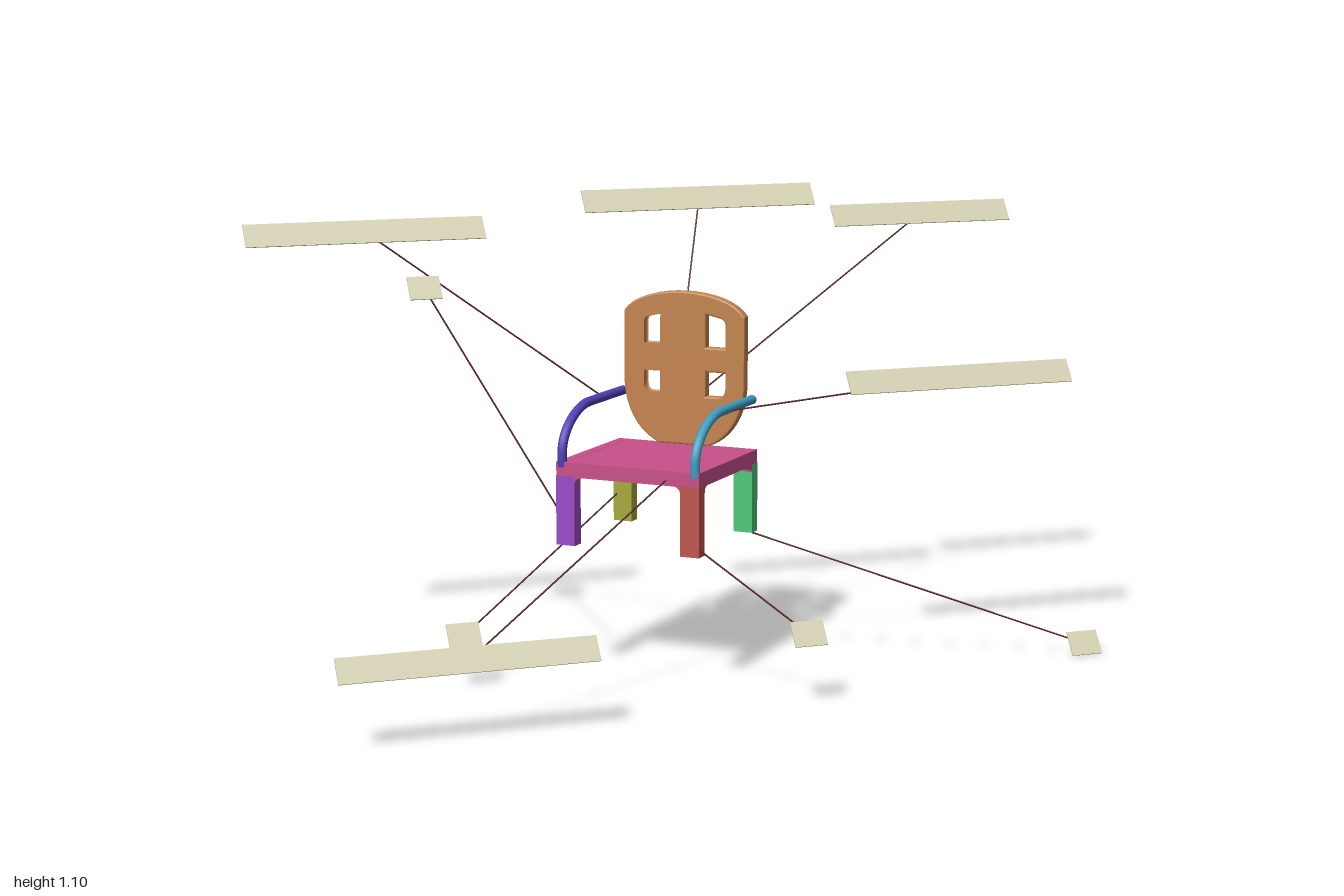
import * as THREE from 'three';

const CX = -0.012;          // chair centre line
const Z0 = -0.125, Z1 = 0.21; // chair back and front
const HALF = 0.179;         // half chair width
const SEAT_TOP = 0.512, SEAT_LOW = 0.478;

function mat(color) {
  return new THREE.MeshStandardMaterial({ color, side: THREE.DoubleSide });
}

function add(group, name, geometry, color, x = 0, y = 0, z = 0) {
  const mesh = new THREE.Mesh(geometry, mat(color));
  mesh.name = name;
  mesh.position.set(x, y, z);
  group.add(mesh);
  return mesh;
}

// Rail with rounded brackets that flow into the legs at both ends
function railGeometry(length, legWidth, depth) {
  const h = length / 2, r = 0.02, e = h - legWidth;
  const s = new THREE.Shape();
  s.moveTo(-h, SEAT_TOP);
  s.lineTo(h, SEAT_TOP);
  s.lineTo(h, SEAT_LOW - r);
  s.lineTo(e, SEAT_LOW - r);
  s.quadraticCurveTo(e, SEAT_LOW, e - r, SEAT_LOW);
  s.lineTo(-e + r, SEAT_LOW);
  s.quadraticCurveTo(-e, SEAT_LOW, -e, SEAT_LOW - r);
  s.lineTo(-h, SEAT_LOW - r);
  s.closePath();
  const g = new THREE.ExtrudeGeometry(s, { depth, bevelEnabled: false, curveSegments: 6 });
  return g.translate(0, 0, -depth / 2);
}

// Hollow seat: top panel with four rails around it
function buildSeat() {
  const seat = new THREE.Group();
  seat.name = 'seat';
  const color = 0xc8508a, mid = (Z0 + Z1) / 2, len = Z1 - Z0, t = 0.024;
  add(seat, 'seatPanel', new THREE.BoxGeometry(HALF * 2 - 0.01, 0.012, len - 0.01), color, CX, SEAT_TOP - 0.0065, mid);
  for (const z of [Z0 + t / 2, Z1 - t / 2])
    add(seat, 'seatRail', railGeometry(HALF * 2, 0.046, t), color, CX, 0, z);
  for (const s of [-1, 1])
    add(seat, 'seatSideRail', railGeometry(len, 0.031, t), color, CX + s * (HALF - t / 2), 0, mid).rotation.y = Math.PI / 2;
  return seat;
}

// Rounded backrest panel with four windows
function buildBack() {
  const s = new THREE.Shape();
  s.moveTo(-0.065, 0.514);
  s.bezierCurveTo(-0.125, 0.54, -0.155, 0.6, -0.155, 0.67);
  s.lineTo(-0.155, 0.825);
  s.bezierCurveTo(-0.11, 0.895, 0.11, 0.895, 0.155, 0.825);
  s.lineTo(0.155, 0.67);
  s.bezierCurveTo(0.155, 0.6, 0.125, 0.54, 0.065, 0.514);
  s.closePath();
  for (const m of [-1, 1]) {
    for (const [lo, hi, top] of [[0.632, 0.69, false], [0.748, 0.826, true]]) {
      const a = m * 0.056, b = m * 0.106, c = m * 0.022;
      const h = new THREE.Path();
      h.moveTo(a, lo);
      if (top) {
        h.lineTo(b, lo);
        h.lineTo(b, hi - 0.025);
        h.quadraticCurveTo(b, hi - 0.008, b - c, hi - 0.006);
        h.lineTo(a, hi);
      } else {
        h.lineTo(b - c, lo);
        h.quadraticCurveTo(b, lo, b, lo + 0.022);
        h.lineTo(b, hi);
        h.lineTo(a, hi);
      }
      h.closePath();
      s.holes.push(h);
    }
  }
  return new THREE.ExtrudeGeometry(s, {
    depth: 0.018, curveSegments: 16, bevelThickness: 0.004, bevelSize: 0.004, bevelOffset: -0.004, bevelSegments: 2
  });
}

// Arm that rises from the seat front and bends back to the backrest
function armGeometry() {
  const path = new THREE.CurvePath();
  const v = (y, z) => new THREE.Vector3(0, y, z);
  path.add(new THREE.LineCurve3(v(0.5, 0.203), v(0.535, 0.203)));
  path.add(new THREE.CubicBezierCurve3(v(0.535, 0.203), v(0.585, 0.2), v(0.63, 0.13), v(0.63, 0.06)));
  path.add(new THREE.LineCurve3(v(0.63, 0.06), v(0.63, -0.122)));
  return new THREE.TubeGeometry(path, 40, 0.011, 12, false);
}

// Blank tilted tag with a thin leader reaching to its part
const RIGHT = new THREE.Vector3(1, 0, -1).normalize();
const FACING = new THREE.Vector3(1, 1, 1).normalize();
const UP = new THREE.Vector3().crossVectors(FACING, RIGHT);

function buildTag(center, run, target) {
  const tag = new THREE.Group();
  tag.name = 'tag';
  const c = new THREE.Vector3(...center), t = new THREE.Vector3(...target);
  const plate = add(tag, 'tagPlate', new THREE.BoxGeometry(run * Math.SQRT2, 0.06, 0.003), 0xd6d2b4, ...center);
  plate.quaternion.setFromRotationMatrix(new THREE.Matrix4().makeBasis(RIGHT, UP, FACING));
  const start = c.clone().addScaledVector(FACING, -0.003);
  const leader = new THREE.TubeGeometry(new THREE.LineCurve3(start, t), 1, 0.002, 6, false);
  add(tag, 'leader', leader, 0x5a2020);
  return tag;
}

export function createModel() {
  const model = new THREE.Group();
  model.name = 'taggedChair';
  const chair = new THREE.Group();
  chair.name = 'chair';
  model.add(chair);
  chair.add(buildSeat());

  // Legs
  const legX = HALF - 0.023, legTop = 0.48, legLow = 0.318;
  for (const [name, side, z, color] of [
    ['frontRightLeg', -1, Z1 - 0.0155, 0x9a4cc8],
    ['frontLeftLeg', 1, Z1 - 0.0155, 0xc0564c],
    ['backRightLeg', -1, Z0 + 0.0155, 0xa8a83c],
    ['backLeftLeg', 1, Z0 + 0.0155, 0x50c87a]
  ])
    add(chair, name, new THREE.BoxGeometry(0.047, legTop - legLow, 0.032), color, CX + side * legX, (legTop + legLow) / 2, z);

  // Backrest and the strip that joins it to the seat
  add(chair, 'backrest', buildBack(), 0xc58450, CX, 0, -0.122);
  add(chair, 'backConnector', new THREE.BoxGeometry(0.03, 0.17, 0.016), 0x50c850, CX - 0.003, 0.553, -0.131);

  // Arms
  add(chair, 'rightArm', armGeometry(), 0x5040b8, CX - 0.167, 0, 0);
  add(chair, 'leftArm', armGeometry(), 0x3f9dc0, CX + 0.167, 0, 0);

  // Tags: centre, horizontal run, point reached by the leader
  const tags = [
    [[-0.688, 1.017, 0.203], 0.407, [-0.18, 0.64, 0.01]],
    [[-0.06, 1.078, -0.298], 0.415, [-0.02, 0.785, -0.118]],
    [[0.315, 1.01, -0.815], 0.338, [-0.015, 0.61, -0.137]],
    [[0.569, 0.671, -0.403], 0.407, [0.16, 0.625, 0.01]],
    [[-0.112, 0.187, 0.779], 0.411, [0.085, 0.49, 0.21]],
    [[-0.549, 0.889, 0.175], 0.055, [-0.182, 0.39, 0.205]],
    [[-0.336, 0.129, 0.393], 0.055, [-0.182, 0.385, -0.1]],
    [[0.43, 0.168, 0.195], 0.055, [0.152, 0.345, 0.205]],
    [[0.858, 0.032, -0.502], 0.055, [0.135, 0.318, -0.12]]
  ];
  for (const [c, run, t] of tags) model.add(buildTag(c, run, t));
  return model;
}
